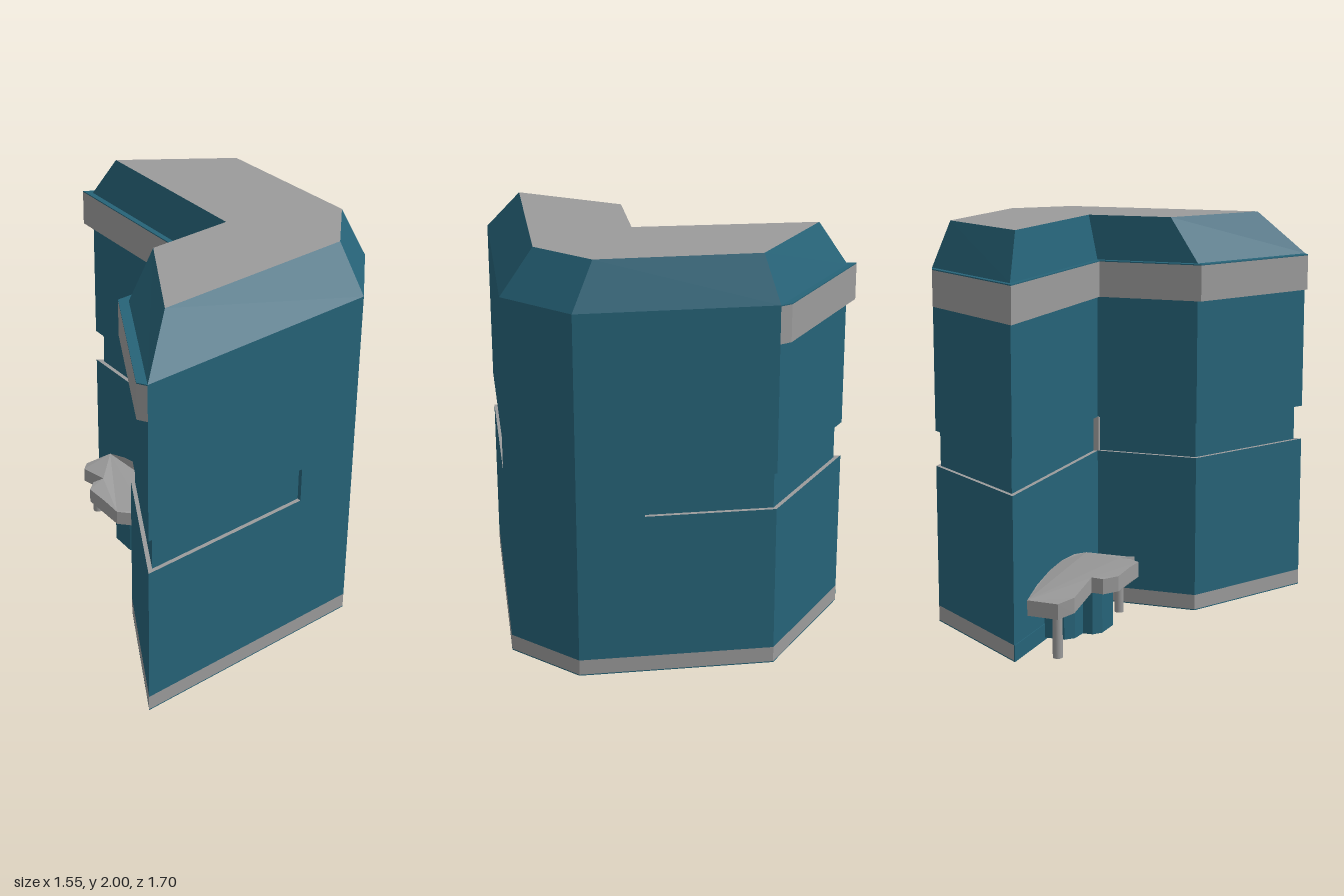
import * as THREE from 'three';

const teal = new THREE.MeshStandardMaterial({ color: 0x266378 });
teal.name = 'teal wall';
const grey = new THREE.MeshStandardMaterial({ color: 0x9b9b9b });
grey.name = 'grey trim';

// Plan outlines as [x, z]
const footprint = [
  [-0.755, 0.845], [0.48, 0.845], [0.775, 0.55], [0.775, -0.365],
  [0.19, -0.8], [0.15, 0.22], [-0.37, 0.22],
];
const roofTop = [
  [-0.54, 0.69], [0.465, 0.69], [0.705, 0.45], [0.705, -0.3],
  [0.225, -0.65], [0.195, 0.22], [-0.23, 0.22],
];
const slotPlan = [
  [-0.719, 0.825], [0.15, 0.825], [0.15, 0.845], [0.48, 0.845], [0.775, 0.55],
  [0.775, 0.24], [0.755, 0.24], [0.755, -0.355], [0.21, -0.76], [0.17, 0.24], [-0.36, 0.24],
];
const bandPlan = [
  [-0.755, 0.845], [0.3, 0.5], [0.775, -0.365], [0.75, -0.42], [0.165, -0.85],
  [0.125, 0.18], [-0.4, 0.18], [-0.78, 0.8],
];
const benchPlan = [
  [0.175, -0.675], [0.02, -0.68], [-0.04, -0.62], [-0.055, -0.43], [-0.115, -0.435],
  [-0.175, -0.385], [-0.185, -0.25], [-0.19, -0.135], [-0.13, -0.08], [-0.07, -0.075],
  [-0.085, 0.115], [-0.015, 0.18], [0.145, 0.18], [0.15, 0.05], [0.16, -0.1],
  [0.165, -0.25], [0.17, -0.4], [0.175, -0.55],
];
const supportPlan = [
  [0.17, -0.47], [0.07, -0.47], [0.03, -0.43], [0.02, -0.35], [-0.03, -0.35],
  [-0.065, -0.31], [-0.075, -0.18], [-0.035, -0.14], [0.01, -0.14], [0, -0.06],
  [0.04, -0.02], [0.155, -0.02],
];

// Upright prism over a plan outline
function prismGeometry(plan, y0, y1) {
  const shape = new THREE.Shape(plan.map(([x, z]) => new THREE.Vector2(x, -z)));
  const geo = new THREE.ExtrudeGeometry(shape, { depth: y1 - y0, bevelEnabled: false });
  return geo.rotateX(-Math.PI / 2).translate(0, y0, 0);
}

function moveVertices(geo, rule) {
  const pos = geo.attributes.position;
  const v = new THREE.Vector3();
  for (let i = 0; i < pos.count; i++) {
    rule(v.fromBufferAttribute(pos, i));
    pos.setXYZ(i, v.x, v.y, v.z);
  }
  geo.computeVertexNormals();
  return geo;
}

export function createModel() {
  const model = new THREE.Group();
  const add = (name, geo, material) => {
    const mesh = new THREE.Mesh(geo, material);
    mesh.name = name;
    model.add(mesh);
    return mesh;
  };

  // Plinth and storeys, with grey ledges above and below the recessed strip
  add('floorPlate', prismGeometry(footprint, 0.02, 0.025), teal);
  add('plinth', prismGeometry(footprint, 0.025, 0.1), grey);
  add('lowerWalls', prismGeometry(footprint, 0.1, 0.81), [grey, teal]);
  add('recessedStrip', prismGeometry(slotPlan, 0.81, 0.985), teal);
  add('upperWalls', prismGeometry(footprint, 0.985, 1.78), [grey, teal]);
  add('cornerPost', new THREE.BoxGeometry(0.03, 0.175, 0.03).translate(0.16, 0.8975, 0.23), grey);

  // Teal skirting over the plinth on the wall beside the bench
  add('innerSkirting', prismGeometry(
    [[0.186, -0.8], [0.146, 0.22], [0.151, 0.22], [0.191, -0.8]], 0.02, 0.1), teal);

  // Sloped roof: upper ring of the prism pulled in to the roof outline
  const roof = moveVertices(prismGeometry(footprint, 1.78, 2), (v) => {
    if (v.y < 1.9) return;
    const i = footprint.findIndex(([x, z]) => Math.hypot(x - v.x, z - v.z) < 0.001);
    v.x = roofTop[i][0];
    v.z = roofTop[i][1];
  });
  add('roof', roof, [grey, teal]);

  // Projecting band round the back
  add('backBand', prismGeometry(bandPlan, 1.6, 1.775), grey);
  add('backBandCap', prismGeometry(bandPlan, 1.775, 1.7801), teal);

  // Arched bench with its support and two legs
  const bench = moveVertices(prismGeometry(benchPlan, 0.285, 0.36), (v) => {
    v.y -= 0.08 * ((v.z + 0.25) / 0.43) ** 2;
  });
  add('benchTop', bench, grey);
  add('benchSupport', prismGeometry(supportPlan, 0.035, 0.28), teal);
  for (const [x, z] of [[0.045, -0.62], [0.005, 0.135]]) {
    add('benchLeg', new THREE.CylinderGeometry(0.024, 0.024, 0.23, 12).translate(x, 0.115, z), grey);
  }
  return model;
}
